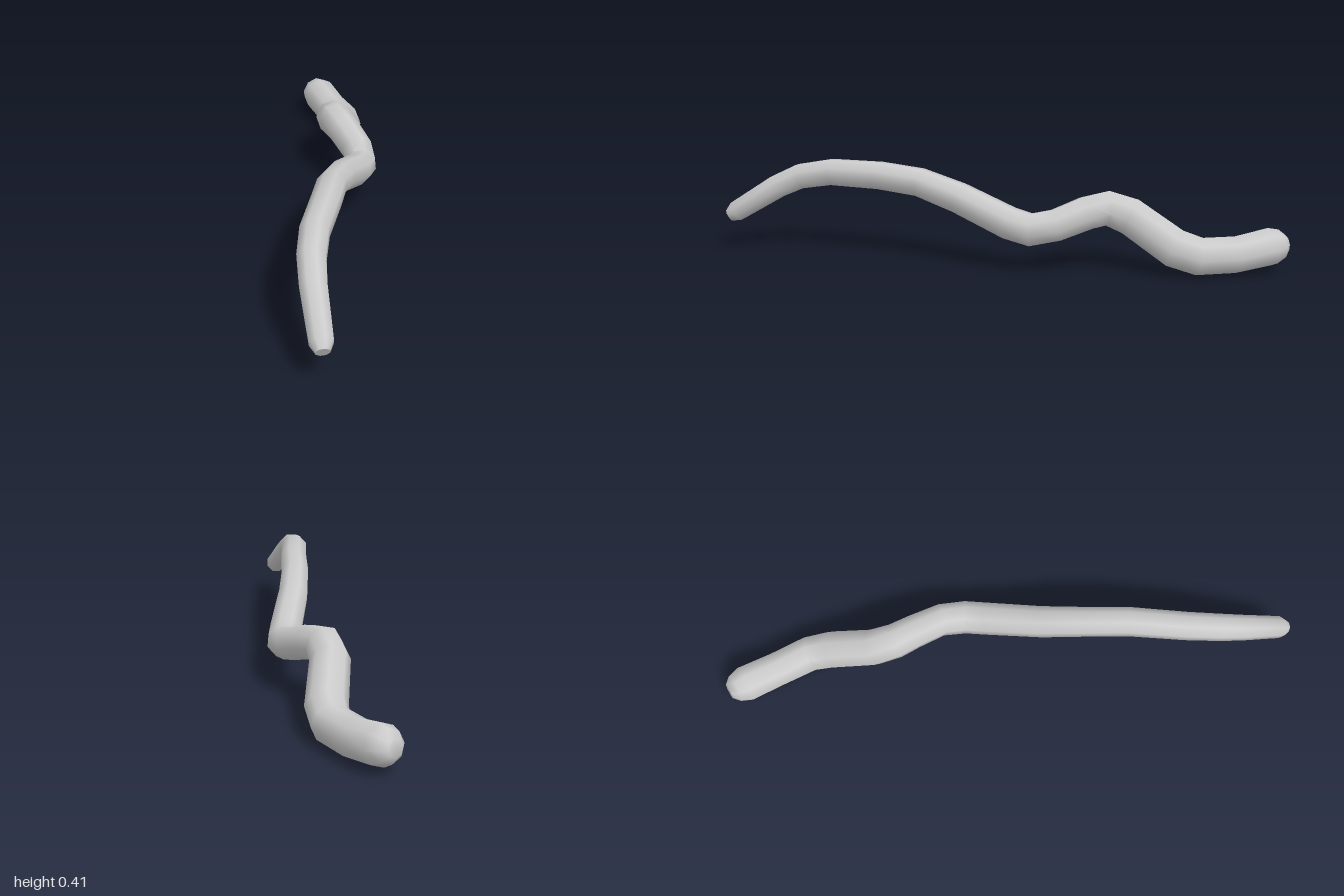
import * as THREE from 'three';
import { toCreasedNormals } from 'three/addons/utils/BufferGeometryUtils.js';

// Centre line of the branch with its radius: x, y, z, r
const STATIONS = [
  [-0.992, 0.117, -0.708, 0.035],
  [-0.965, 0.113, -0.703, 0.064],
  [-0.92, 0.105, -0.694, 0.082],
  [-0.77, 0.08, -0.66, 0.079],
  [-0.62, 0.08, -0.618, 0.081],
  [-0.54, 0.11, -0.555, 0.084],
  [-0.42, 0.225, -0.4, 0.081],
  [-0.34, 0.258, -0.348, 0.077],
  [-0.25, 0.243, -0.33, 0.073],
  [-0.12, 0.2, -0.305, 0.07],
  [-0.03, 0.178, -0.25, 0.071],
  [0.03, 0.197, -0.175, 0.07],
  [0.17, 0.281, 0.02, 0.067],
  [0.29, 0.334, 0.16, 0.063],
  [0.42, 0.352, 0.29, 0.062],
  [0.58, 0.351, 0.465, 0.06],
  [0.69, 0.325, 0.562, 0.058],
  [0.78, 0.276, 0.622, 0.055],
  [0.945, 0.162, 0.712, 0.048],
  [0.975, 0.142, 0.728, 0.028],
];
const SIDES = 8;

// Sweeps a round section along the stations, without twist, and closes both ends
function sweep(stations) {
  const centres = stations.map(([x, y, z]) => new THREE.Vector3(x, y, z));
  const last = centres.length - 1;
  const positions = [];
  const indices = [];
  const side = new THREE.Vector3(0, 1, 0);

  centres.forEach((centre, i) => {
    const tangent = new THREE.Vector3();
    if (i > 0) tangent.add(centre.clone().sub(centres[i - 1]).normalize());
    if (i < last) tangent.add(centres[i + 1].clone().sub(centre).normalize());
    tangent.normalize();
    side.addScaledVector(tangent, -side.dot(tangent)).normalize();
    const other = new THREE.Vector3().crossVectors(tangent, side);
    for (let j = 0; j < SIDES; j++) {
      const a = (j / SIDES) * Math.PI * 2;
      const p = centre.clone()
        .addScaledVector(side, Math.cos(a) * stations[i][3])
        .addScaledVector(other, Math.sin(a) * stations[i][3]);
      positions.push(p.x, p.y, p.z);
    }
  });

  // Side walls
  for (let i = 0; i < last; i++) {
    for (let j = 0; j < SIDES; j++) {
      const k = (j + 1) % SIDES;
      const a = i * SIDES + j, b = i * SIDES + k;
      indices.push(a, b, b + SIDES, a, b + SIDES, a + SIDES);
    }
  }
  // End caps
  const end = last * SIDES;
  for (let j = 1; j < SIDES - 1; j++) {
    indices.push(0, j + 1, j);
    indices.push(end, end + j, end + j + 1);
  }

  const geometry = new THREE.BufferGeometry();
  geometry.setAttribute('position', new THREE.Float32BufferAttribute(positions, 3));
  geometry.setIndex(indices);
  return toCreasedNormals(geometry, 0.9);
}

export function createModel() {
  const group = new THREE.Group();
  group.name = 'crookedBranch';
  const material = new THREE.MeshStandardMaterial({ color: 0xcccccc });
  const branch = new THREE.Mesh(sweep(STATIONS), material);
  branch.name = 'branch';
  group.add(branch);
  return group;
}
